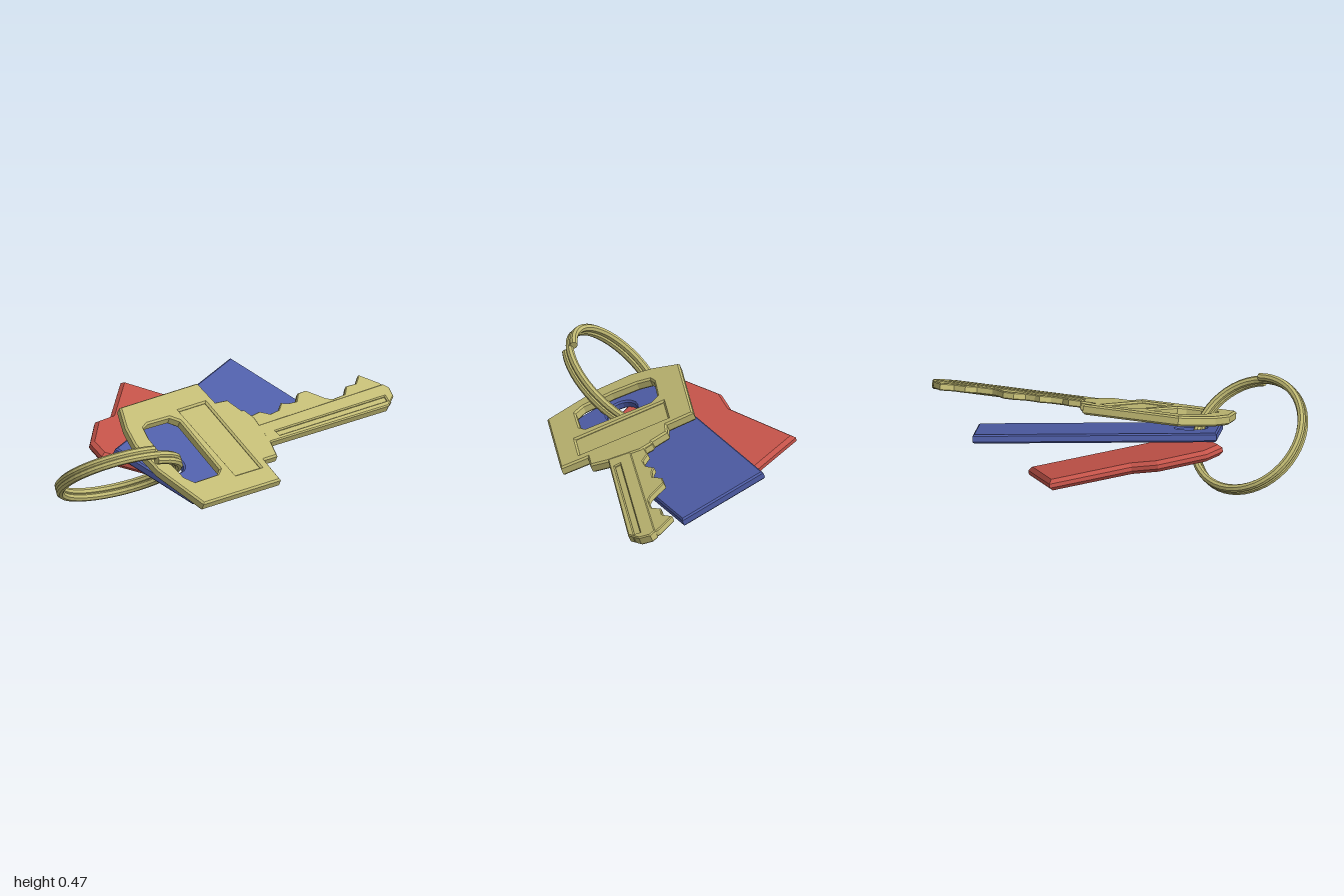
import * as THREE from 'three';

const brass = new THREE.MeshStandardMaterial({ color: 0xc2bb74, flatShading: true });
const blue = new THREE.MeshStandardMaterial({ color: 0x4f5ea8, flatShading: true });
const red = new THREE.MeshStandardMaterial({ color: 0xc6544a, flatShading: true });

// A bevelled flat plate lying in the tilted plane y = a + b*x + c*z (its mid-plane).
// Outline and holes are given as [x, z] pairs seen from above.
function plate(name, material, [a, b, c], outline, holes, thickness, bevel) {
  const n = new THREE.Vector3(-b, 1, -c).normalize();
  const u = new THREE.Vector3(1, b, 0).normalize();
  const v = new THREE.Vector3().crossVectors(n, u);
  const flatten = (points) => points.map(([x, z]) => {
    const p = new THREE.Vector3(x, b * x + c * z, z);
    return new THREE.Vector2(p.dot(u), p.dot(v));
  });
  const contour = flatten(outline);
  if (THREE.ShapeUtils.isClockWise(contour)) contour.reverse();
  const shape = new THREE.Shape(contour);
  for (const hole of holes) shape.holes.push(new THREE.Path(flatten(hole)));
  const geometry = new THREE.ExtrudeGeometry(shape, {
    depth: thickness - 2 * bevel,
    bevelEnabled: bevel > 0,
    bevelThickness: bevel,
    bevelSize: bevel,
    bevelOffset: -bevel,
    bevelSegments: 1,
  });
  geometry.translate(0, 0, -thickness / 2 + bevel);
  geometry.applyMatrix4(new THREE.Matrix4().makeBasis(u, v, n).setPosition(0, a, 0));
  const mesh = new THREE.Mesh(geometry, material);
  mesh.name = name;
  return mesh;
}

// Key: pierced head, recessed panel, grooved blade and cut teeth
function makeKey() {
  const plane = [0.305, -0.027, -0.43];
  const key = new THREE.Group();
  key.name = 'key';

  const head = [
    [-0.41, -0.13], [0.095, -0.07], [0.08, 0.06], [0.15, 0.075], [0.165, 0.155], [0.18, 0.16],
    [0.19, 0.22], [0.14, 0.375], [0.1, 0.45], [0.015, 0.44], [-0.01, 0.57], [-0.51, 0.51],
    [-0.555, 0.25], [-0.535, 0.08], [-0.49, -0.02],
  ];
  const window = [
    [-0.36, 0.01], [-0.22, 0.03], [-0.19, 0.07], [-0.25, 0.38], [-0.29, 0.4],
    [-0.44, 0.385], [-0.465, 0.34], [-0.455, 0.2], [-0.43, 0.08], [-0.4, 0.02],
  ];
  const recess = [[-0.14, 0.02], [0.03, 0.04], [-0.045, 0.465], [-0.205, 0.445]];
  const panel = [[-0.155, 0.005], [0.045, 0.025], [-0.03, 0.48], [-0.22, 0.46]];
  key.add(plate('keyHead', brass, plane, head, [window, recess], 0.05, 0.009));
  key.add(plate('keyHeadPanel', brass, plane, panel, [], 0.026, 0));

  const spine = [
    [0.1, 0.255], [0.985, 0.35], [1, 0.38], [0.975, 0.43], [0.9, 0.465], [0.1, 0.365],
  ];
  const groove = [[0.22, 0.33], [0.93, 0.412], [0.92, 0.438], [0.22, 0.356]];
  const grooveFloor = [[0.2, 0.315], [0.95, 0.4], [0.94, 0.45], [0.2, 0.368]];
  const teeth = [
    [0.12, 0.16], [0.18, 0.16], [0.19, 0.2], [0.25, 0.2], [0.29, 0.235], [0.35, 0.235],
    [0.4, 0.207], [0.43, 0.225], [0.48, 0.235], [0.53, 0.2], [0.585, 0.205], [0.64, 0.285],
    [0.67, 0.305], [0.75, 0.31], [0.8, 0.275], [0.86, 0.285], [0.92, 0.25], [0.98, 0.335],
    [0.985, 0.37], [0.12, 0.29],
  ];
  key.add(plate('keyBladeSpine', brass, plane, spine, [groove], 0.046, 0.006));
  key.add(plate('keyBladeGroove', brass, plane, grooveFloor, [], 0.024, 0));
  key.add(plate('keyTeeth', brass, plane, teeth, [], 0.036, 0.005));
  return key;
}

// Split ring: two turns of faceted wire with flat ends
class Coil extends THREE.Curve {
  getPoint(t, target = new THREE.Vector3()) {
    const angle = t * Math.PI * 4;
    return target.set(0.298 * Math.cos(angle), 0.298 * Math.sin(angle), (t - 0.5) * 0.056);
  }
}

function makeRing() {
  const wire = new THREE.Shape();
  for (let i = 0; i < 8; i++) {
    const angle = (i + 0.5) * Math.PI / 4;
    const x = 0.02 * Math.cos(angle), y = 0.02 * Math.sin(angle);
    if (i === 0) wire.moveTo(x, y); else wire.lineTo(x, y);
  }
  const geometry = new THREE.ExtrudeGeometry(wire, { steps: 96, extrudePath: new Coil() });
  const n = new THREE.Vector3(0.3, 0.74, -0.6).normalize();
  // The wire ends sit at the raised front of the ring
  const u = new THREE.Vector3(0.02, 0.6, 0.75).projectOnPlane(n).normalize();
  const v = new THREE.Vector3().crossVectors(n, u);
  geometry.applyMatrix4(new THREE.Matrix4().makeBasis(u, v, n).setPosition(-0.695, 0.216, 0.125));
  const ring = new THREE.Mesh(geometry, brass);
  ring.name = 'splitRing';
  return ring;
}

export function createModel() {
  const model = new THREE.Group();
  model.name = 'keyring';
  model.add(makeKey(), makeRing());

  // Blue rectangular tag with a round hole
  const hole = [];
  for (let i = 0; i < 20; i++) {
    const angle = i * Math.PI / 10;
    hole.push([-0.385 + 0.076 * Math.cos(angle), 0.168 + 0.074 * Math.sin(angle)]);
  }
  const blueOutline = [[-0.57, -0.015], [0.59, -0.293], [0.69, 0.14], [-0.47, 0.42]];
  model.add(plate('blueTag', blue, [0.173, -0.124, -0.355], blueOutline, [hole], 0.044, 0.008));

  // Red tag with one stepped side
  const redOutline = [
    [0.11, -0.578], [0.305, -0.29], [-0.41, 0.2], [-0.615, -0.06],
    [-0.57, -0.175], [-0.365, -0.325], [-0.235, -0.34],
  ];
  model.add(plate('redTag', red, [0.073, -0.21, -0.19], redOutline, [], 0.056, 0.018));
  return model;
}
